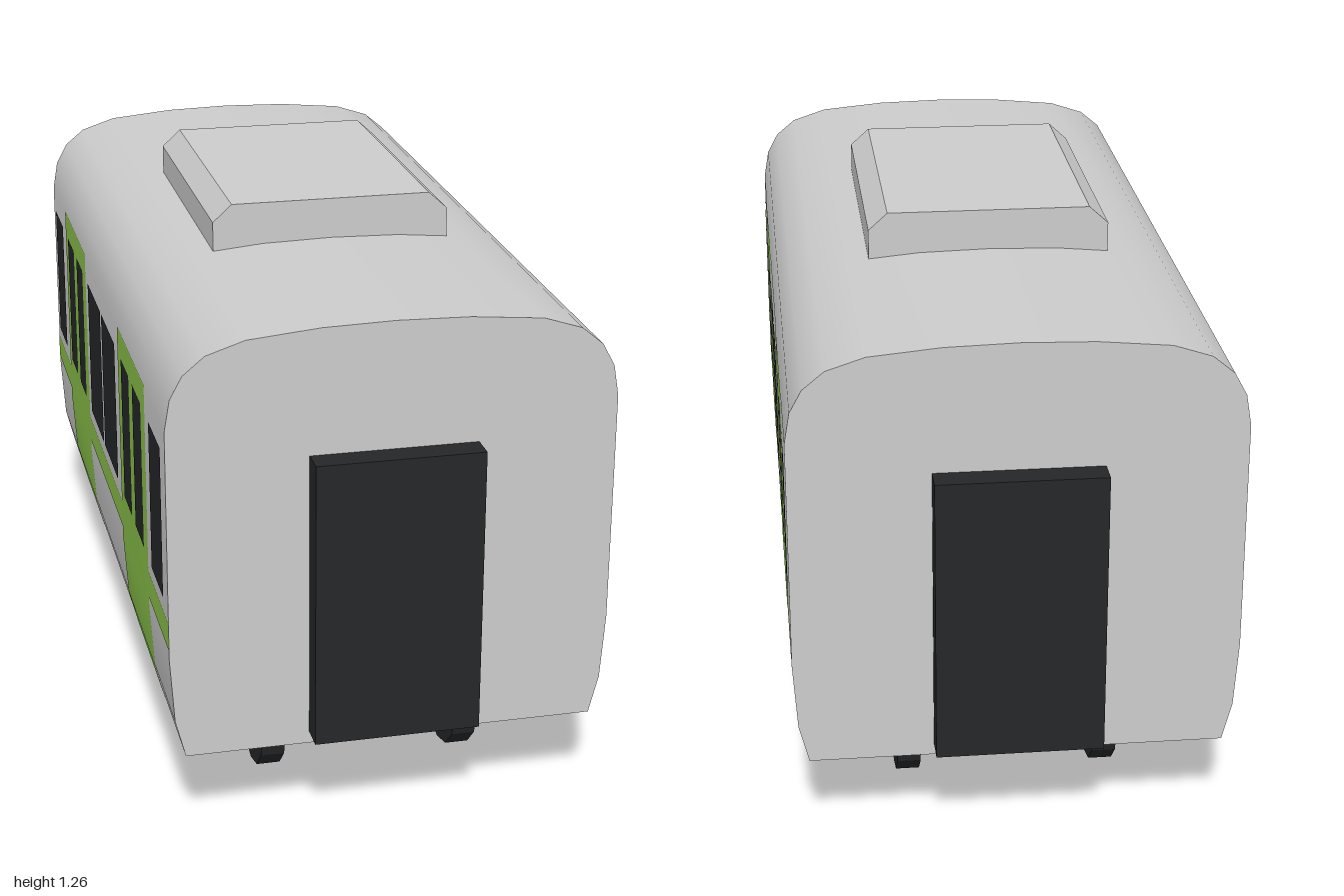
import * as THREE from 'three';
import { mergeGeometries, toCreasedNormals } from 'three/addons/utils/BufferGeometryUtils.js';

const grey = new THREE.MeshStandardMaterial({ color: 0xcccccc });
const green = new THREE.MeshStandardMaterial({ color: 0x8bc34a });
const dark = new THREE.MeshStandardMaterial({ color: 0x242628 });

const FLOOR = 0.203, HALF = 0.94;

// Right half of the body cross-section, floor to roof crown (x, y)
const PROFILE = [
  [0.46, FLOOR], [0.482, 0.29], [0.492, 0.44], [0.492, 0.965], [0.48, 1.035], [0.453, 1.085],
  [0.405, 1.125], [0.32, 1.153], [0.16, 1.168], [0, 1.172],
];

// Half-width of the body at a given height
function widthAt(y) {
  for (let i = 1; i < PROFILE.length; i++) {
    const [x0, y0] = PROFILE[i - 1], [x1, y1] = PROFILE[i];
    if (y <= y1) return x0 + (x1 - x0) * (y - y0) / (y1 - y0);
  }
  return 0;
}

// Extrude a symmetric half outline along z, centred, with smooth curves and sharp ends
function extrudeProfile(half, length) {
  const mirrored = half.filter(p => p[0] > 0).reverse().map(([x, y]) => [-x, y]);
  const shape = new THREE.Shape([...half, ...mirrored].map(p => new THREE.Vector2(...p)));
  const geo = new THREE.ExtrudeGeometry(shape, { depth: length, bevelEnabled: false });
  return geo.translate(0, 0, -length / 2);
}

// Painted strip that follows the curve of one body side
function sidePanel(side, z0, z1, y0, y1, lift) {
  const ys = [y0, ...PROFILE.map(p => p[1]).filter(y => y > y0 && y < y1), y1];
  const pos = [], index = [];
  ys.forEach((y, i) => {
    const x = side * (widthAt(y) + lift);
    pos.push(x, y, z0, x, y, z1);
    if (i === 0) return;
    const a = 2 * i - 2, b = a + 1, c = a + 2, d = a + 3;
    index.push(...(side > 0 ? [b, a, c, b, c, d] : [b, c, a, b, d, c]));
  });
  const geo = new THREE.BufferGeometry();
  geo.setAttribute('position', new THREE.Float32BufferAttribute(pos, 3));
  geo.setIndex(index);
  geo.computeVertexNormals();
  return geo;
}

function add(parent, name, geo, mat, x = 0, y = 0, z = 0) {
  const mesh = new THREE.Mesh(geo, mat);
  mesh.name = name;
  mesh.position.set(x, y, z);
  parent.add(mesh);
  return mesh;
}

// Two-axle truck, centred on z = 0
function makeBogie() {
  const bogie = new THREE.Group();
  bogie.name = 'bogie';
  const wheel = toCreasedNormals(new THREE.CylinderGeometry(0.14, 0.14, 0.054, 12).rotateZ(Math.PI / 2), 0.2);
  const axle = new THREE.CylinderGeometry(0.028, 0.028, 0.42, 8).rotateZ(Math.PI / 2);
  const axleBox = new THREE.BoxGeometry(0.08, 0.1, 0.11);
  // Side beam, lower in the middle than at the ends
  const outline = [[0.25, FLOOR], [-0.25, FLOOR], [-0.25, 0.13], [-0.1, 0.075], [0.1, 0.075], [0.25, 0.13]];
  const beam = new THREE.ExtrudeGeometry(
    new THREE.Shape(outline.map(p => new THREE.Vector2(...p))), { depth: 0.06, bevelEnabled: false });
  beam.translate(0, 0, -0.03).rotateY(Math.PI / 2);

  for (const z of [-0.148, 0.148]) {
    add(bogie, 'axle', axle, dark, 0, 0.14, z);
    for (const s of [-1, 1]) {
      add(bogie, 'wheel', wheel, dark, s * 0.227, 0.14, z);
      add(bogie, 'axleBox', axleBox, dark, s * 0.298, 0.13, z * 1.05);
    }
  }
  for (const s of [-1, 1]) add(bogie, 'sideBeam', beam, dark, s * 0.292, 0, 0);
  add(bogie, 'bolster', new THREE.BoxGeometry(0.56, 0.07, 0.12), dark, 0, 0.17, 0);
  return bogie;
}

export function createModel() {
  const car = new THREE.Group();
  car.name = 'railCar';

  // Shell and dark underside
  add(car, 'body', toCreasedNormals(extrudeProfile(PROFILE, HALF * 2), 0.5), grey);
  add(car, 'floor', new THREE.PlaneGeometry(0.92, HALF * 2).rotateX(Math.PI / 2), dark, 0, FLOOR - 0.002, 0);

  // Roof unit with chamfered long edges
  const unit = [[0.276, 1.14], [0.276, 1.225], [0.232, 1.265]];
  add(car, 'roofUnit', extrudeProfile(unit, 0.69), grey);

  // Doors, waist stripe and windows on both sides
  for (const side of [-1, 1]) {
    const paint = [sidePanel(side, -HALF, HALF, 0.465, 0.53, 0.001)];
    const glass = [];
    for (const end of [-1, 1]) {
      const span = (a, b) => (end > 0 ? [a, b] : [-b, -a]);
      paint.push(sidePanel(side, ...span(0.28, 0.677), FLOOR, 0.97, 0.001));
      for (const [a, b] of [[0.01, 0.232], [0.335, 0.452], [0.505, 0.625], [0.735, 0.888]])
        glass.push(sidePanel(side, ...span(a, b), 0.565, 0.91, 0.002));
    }
    add(car, side > 0 ? 'leftDoorsAndStripe' : 'rightDoorsAndStripe', mergeGeometries(paint), green);
    add(car, side > 0 ? 'leftWindows' : 'rightWindows', mergeGeometries(glass), dark);
  }

  // Gangways, one at each end
  for (const end of [-1, 1]) {
    add(car, end > 0 ? 'frontGangway' : 'backGangway',
      new THREE.BoxGeometry(0.37, 0.655, 0.07), dark, 0, 0.558, end * 0.965);
    const bogie = makeBogie();
    bogie.position.z = end * 0.478;
    car.add(bogie);
  }

  // Equipment box under the middle
  add(car, 'underfloorBox', new THREE.BoxGeometry(0.71, 0.095, 0.335), dark, 0, 0.158, 0);
  return car;
}
